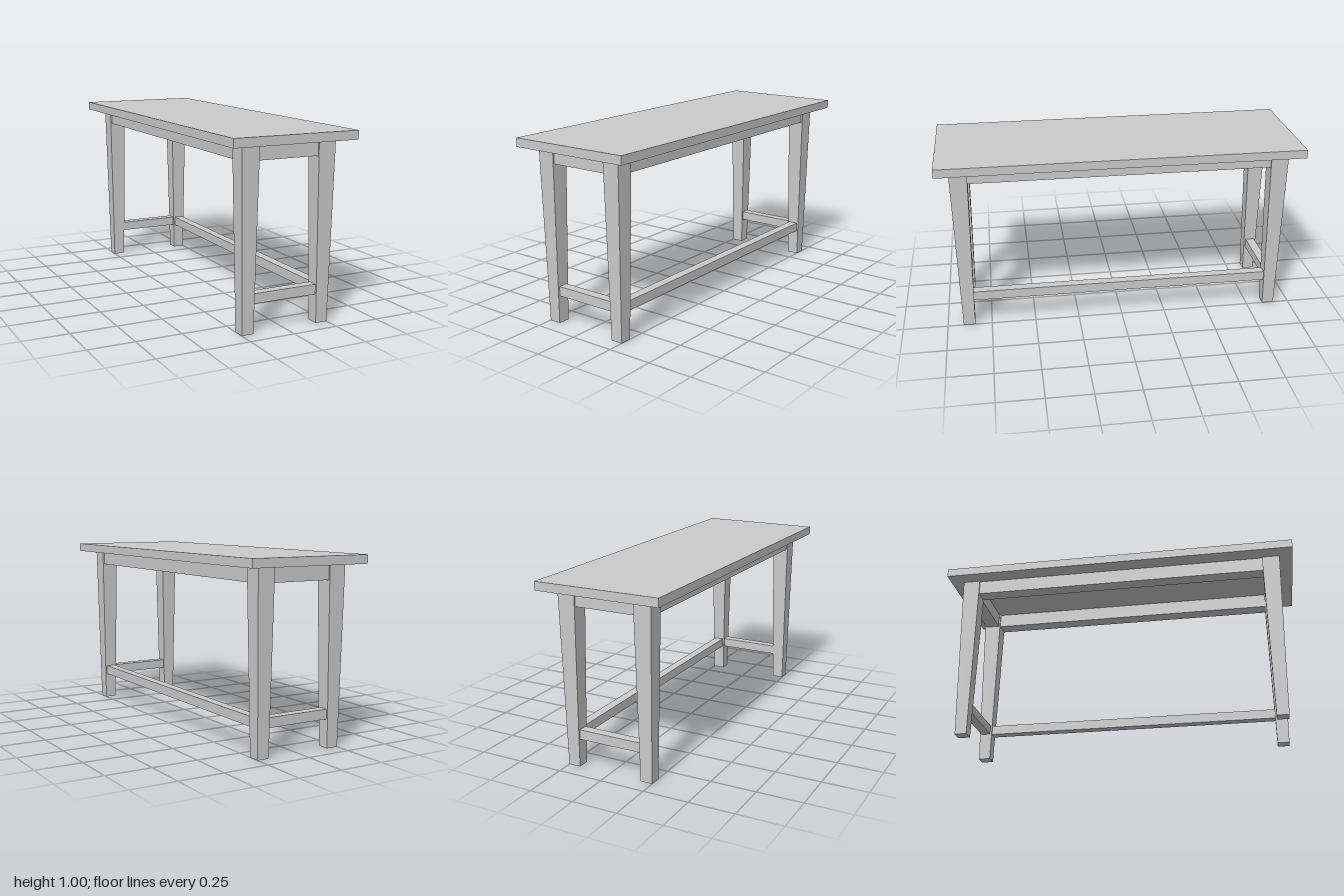
import * as THREE from 'three';

const LEG_X = 0.217, LEG_Z = 0.878, LEG_H = 0.953;
const HALF_FOOT = 0.033, HALF_TOP = 0.049;

export function createModel() {
  const model = new THREE.Group();
  model.name = 'table';
  const material = new THREE.MeshStandardMaterial({ color: 0xcccccc, flatShading: true });

  const add = (name, geometry, x, y, z) => {
    const mesh = new THREE.Mesh(geometry, material);
    mesh.name = name;
    mesh.position.set(x, y, z);
    model.add(mesh);
  };

  // Half width of a tapered leg at height y
  const legHalf = (y) => HALF_FOOT + (HALF_TOP - HALF_FOOT) * (y / LEG_H);

  // Table top
  add('tableTop', new THREE.BoxGeometry(0.7, 1 - LEG_H, 2), 0, (1 + LEG_H) / 2, 0);

  // Four square legs, narrowing toward the floor
  const legGeometry = new THREE.BoxGeometry(1, LEG_H, 1);
  legGeometry.translate(0, LEG_H / 2, 0);
  const p = legGeometry.attributes.position;
  for (let i = 0; i < p.count; i++) {
    const width = 2 * legHalf(p.getY(i));
    p.setX(i, p.getX(i) * width);
    p.setZ(i, p.getZ(i) * width);
  }
  legGeometry.computeVertexNormals();
  for (const [sz, end] of [[1, 'front'], [-1, 'back']]) {
    for (const [sx, side] of [[1, 'Left'], [-1, 'Right']]) {
      add(`${end}${side}Leg`, legGeometry, sx * LEG_X, 0, sz * LEG_Z);
    }
  }

  // Square beams between the legs, let slightly into them
  const endBeam = (name, size, y, z) => {
    const length = 2 * (LEG_X - legHalf(y) + 0.005);
    add(name, new THREE.BoxGeometry(length, size, size), 0, y, z);
  };
  const sideBeam = (name, size, y, x) => {
    const length = 2 * (LEG_Z - legHalf(y) + 0.005);
    add(name, new THREE.BoxGeometry(size, size, length), x, y, 0);
  };

  // Aprons under the top and low stretchers at both ends
  const APRON = 0.08, APRON_Y = LEG_H - APRON / 2;
  const STRETCHER = 0.053, STRETCHER_Y = 0.18;
  for (const [s, end, side] of [[1, 'front', 'left'], [-1, 'back', 'right']]) {
    endBeam(`${end}Apron`, APRON, APRON_Y, s * LEG_Z);
    sideBeam(`${side}Apron`, APRON, APRON_Y, s * LEG_X);
    endBeam(`${end}Stretcher`, STRETCHER, STRETCHER_Y, s * LEG_Z);
  }

  // Single long stretcher on the left side only
  sideBeam('leftStretcher', STRETCHER, STRETCHER_Y, LEG_X);

  return model;
}
